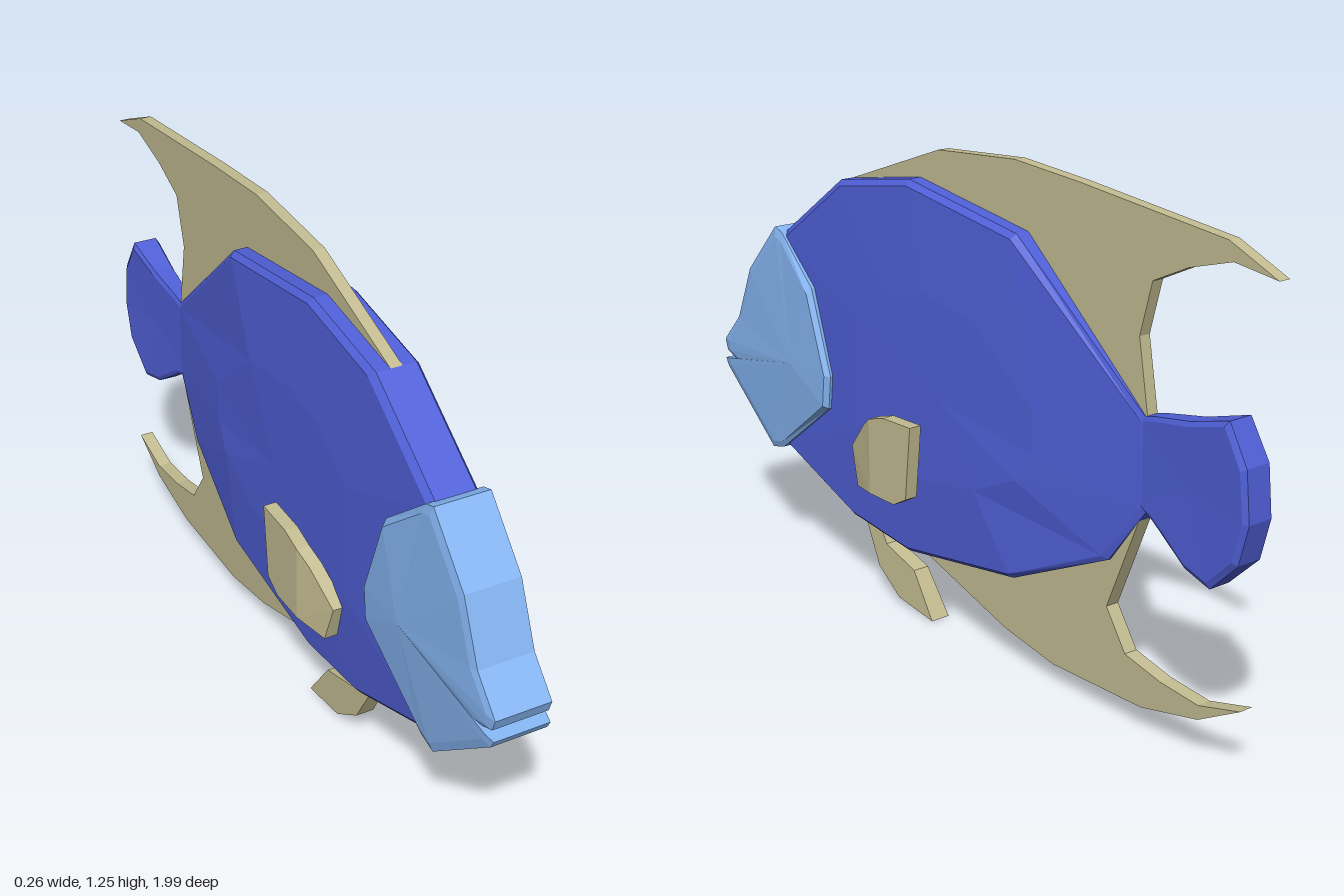
import * as THREE from 'three';

const material = (color) => new THREE.MeshStandardMaterial({ color, flatShading: true });
const BLUE = material(0x5060d8), PALE = material(0x85b5f2), SAND = material(0xc4bd92);
const clamp01 = (v) => Math.min(1, Math.max(0, v));

function addMesh(parent, name, geometry, mat) {
  const mesh = new THREE.Mesh(geometry, mat);
  mesh.name = name;
  parent.add(mesh);
  return mesh;
}

// Flat fin cut from a (z, y) outline, centred on x.
function fin(outline, thickness) {
  const shape = new THREE.Shape(outline.map(([z, y]) => new THREE.Vector2(z, y)));
  const geo = new THREE.ExtrudeGeometry(shape, { depth: thickness, bevelEnabled: false });
  return geo.translate(0, 0, -thickness / 2).rotateY(-Math.PI / 2);
}

// Move vertices sideways: x becomes rule(x, y, z).
function warpX(geo, rule) {
  const p = geo.attributes.position;
  for (let i = 0; i < p.count; i++) p.setX(i, rule(p.getX(i), p.getY(i), p.getZ(i)));
  geo.computeVertexNormals();
  return geo;
}

// Swollen mirrored solid: layers [scale, halfWidth(z, y)] run from rim to centre.
function pillow(outline, [cz, cy], layers) {
  const pts = outline.map(([z, y]) => new THREE.Vector2(z, y));
  if (THREE.ShapeUtils.area(pts) > 0) pts.reverse();
  const ring = ([scale, width], side) => pts.map((p) => {
    const z = cz + (p.x - cz) * scale, y = cy + (p.y - cy) * scale;
    return [side * width(z, y), y, z];
  });
  const rings = [...[...layers].reverse().map((l) => ring(l, 1)), ...layers.map((l) => ring(l, -1))];
  const pos = [];
  for (let k = 0; k < rings.length - 1; k++) {
    const a = rings[k], b = rings[k + 1];
    for (let i = 0; i < pts.length; i++) {
      const j = (i + 1) % pts.length;
      if (k < rings.length - 2) pos.push(...a[i], ...b[i], ...b[j]);
      if (k > 0) pos.push(...a[i], ...b[j], ...a[j]);
    }
  }
  const geo = new THREE.BufferGeometry();
  geo.setAttribute('position', new THREE.Float32BufferAttribute(pos, 3));
  geo.computeVertexNormals();
  return geo;
}

export function createModel() {
  const fish = new THREE.Group();
  fish.name = 'fish';

  // Body: bevelled rim, thinning toward the tail
  const bodyOutline = [
    [0.72, 0.91], [0.45, 1.1], [0.17, 1.148], [-0.23, 1.09], [-0.64, 0.745], [-0.64, 0.54],
    [-0.53, 0.39], [-0.23, 0.25], [0.18, 0.185], [0.42, 0.21], [0.72, 0.32],
  ];
  const body = (w) => (z) => w * (1 - 0.68 * clamp01((-0.23 - z) / 0.41));
  addMesh(fish, 'body', pillow(bodyOutline, [0.02, 0.63], [
    [1, body(0.05)], [0.972, body(0.063)], [0.5, body(0.075)], [0, body(0.076)],
  ]), BLUE);

  // Tail: flares in thickness toward its trailing edge
  const tailOutline = [
    [-0.6, 0.75], [-0.66, 0.765], [-0.77, 0.785], [-0.89, 0.82], [-0.945, 0.73],
    [-0.958, 0.61], [-0.932, 0.51], [-0.85, 0.43], [-0.77, 0.45], [-0.66, 0.525], [-0.6, 0.55],
  ];
  const tail = (w) => (z) => w * (0.5 + 0.5 * clamp01((-0.62 - z) / 0.3));
  addMesh(fish, 'tail', pillow(tailOutline, [-0.77, 0.63], [
    [1, tail(0.033)], [0.93, tail(0.041)], [0, tail(0.036)],
  ]), BLUE);

  // Head: a cap standing proud of the body, with a notched mouth
  const headOutline = [
    [0.73, 0.93], [0.7, 0.92], [0.555, 0.8], [0.478, 0.58], [0.488, 0.49], [0.72, 0.318],
    [0.77, 0.305], [0.99, 0.485], [1, 0.505], [0.95, 0.515], [0.99, 0.53], [1, 0.56],
    [0.925, 0.64], [0.86, 0.79],
  ];
  const head = (front, rear) => (z) => THREE.MathUtils.lerp(rear, front, clamp01((z - 0.56) / 0.14));
  addMesh(fish, 'head', pillow(headOutline, [0.64, 0.58], [
    [1, head(0.07, 0.078)], [0.93, head(0.076, 0.091)], [0, () => 0.095],
  ]), PALE);

  // Long swept fins along back and belly
  addMesh(fish, 'dorsalFin', fin([
    [0.45, 1.1], [0.1, 1.225], [-0.18, 1.247], [-0.4, 1.232], [-0.85, 1.19], [-0.99, 1.133],
    [-0.865, 1.147], [-0.74, 1.11], [-0.635, 1.06], [-0.6, 0.93], [-0.635, 0.74],
    [-0.55, 0.74], [-0.23, 1], [0.17, 1.06],
  ], 0.03), SAND);
  addMesh(fish, 'analFin', fin([
    [0.19, 0.19], [-0.16, 0.085], [-0.34, 0.055], [-0.64, 0.063], [-0.82, 0.105], [-0.945, 0.175],
    [-0.82, 0.14], [-0.7, 0.15], [-0.585, 0.175], [-0.52, 0.27], [-0.63, 0.54],
    [-0.5, 0.5], [-0.23, 0.32], [0.15, 0.25],
  ], 0.036), SAND);

  // Pelvic fin, slightly thicker at its tip
  const pelvic = fin([
    [0.42, 0.21], [0.35, 0.08], [0.26, 0.02], [0.12, 0.002],
    [0.2, 0.115], [0.32, 0.15], [0.36, 0.21], [0.36, 0.25],
  ], 0.054);
  addMesh(fish, 'pelvicFin', warpX(pelvic, (x, y) => x * (1 - 0.3 * clamp01(y / 0.2))), SAND);

  // Side fins: flat blade plus a front root bent in toward the body
  const blade = [[0.24, 0.54], [0.18, 0.558], [0.07, 0.562], [0.09, 0.37], [0.14, 0.342], [0.24, 0.342]];
  const root = [[0.24, 0.342], [0.33, 0.33], [0.36, 0.43], [0.28, 0.51], [0.24, 0.54]];
  for (const side of [1, -1]) {
    const group = new THREE.Group();
    group.name = side > 0 ? 'leftPectoralFin' : 'rightPectoralFin';
    const bend = (x, y, z) => x + side * (0.113 - 0.033 * clamp01((z - 0.24) / 0.11));
    addMesh(group, 'finBlade', warpX(fin(blade, 0.034), bend), SAND);
    addMesh(group, 'finRoot', warpX(fin(root, 0.034), bend), SAND);
    fish.add(group);
  }
  return fish;
}
